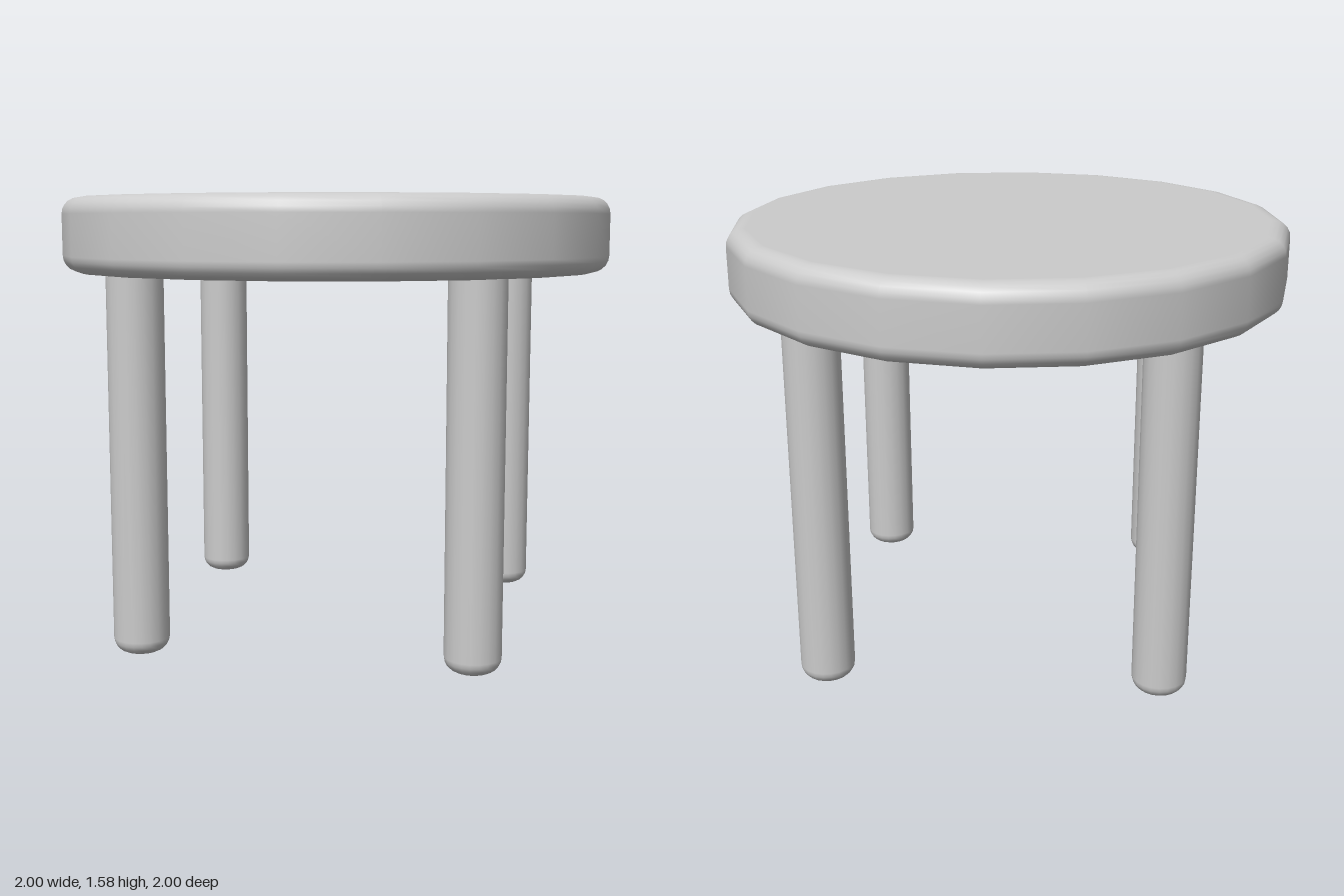
import * as THREE from 'three';

const material = new THREE.MeshStandardMaterial({ color: 0xcccccc });

// Closed disc or post with rounded rims, turned around y from y0 to y1
function roundedCylinder(radius, y0, y1, bevel, sides) {
  const steps = 5;
  const inner = radius - bevel;
  const points = [new THREE.Vector2(0, y0), new THREE.Vector2(inner * 0.99, y0)];
  for (let i = 0; i <= steps; i++) {
    const a = (i / steps) * Math.PI / 2;
    points.push(new THREE.Vector2(inner + bevel * Math.sin(a), y0 + bevel - bevel * Math.cos(a)));
  }
  for (let i = 0; i <= steps; i++) {
    const a = (i / steps) * Math.PI / 2;
    points.push(new THREE.Vector2(inner + bevel * Math.cos(a), y1 - bevel + bevel * Math.sin(a)));
  }
  points.push(new THREE.Vector2(inner * 0.99, y1), new THREE.Vector2(0, y1));
  return new THREE.LatheGeometry(points, sides);
}

export function createModel() {
  const model = new THREE.Group();
  model.name = 'stool';

  // Round seat with softened rims
  const seat = new THREE.Mesh(roundedCylinder(1, 1.307, 1.575, 0.06, 20), material);
  seat.name = 'seat';
  model.add(seat);

  // Four posts, placed slightly unevenly and sunk into the seat
  const legGeometry = roundedCylinder(0.097, 0, 1.36, 0.05, 20);
  const legs = [
    ['frontLeftLeg', 0.573, 0.61],
    ['frontRightLeg', -0.585, 0.59],
    ['backLeftLeg', 0.613, -0.55],
    ['backRightLeg', -0.58, -0.55],
  ];
  for (const [name, x, z] of legs) {
    const leg = new THREE.Mesh(legGeometry, material);
    leg.name = name;
    leg.position.set(x, 0, z);
    model.add(leg);
  }
  return model;
}
